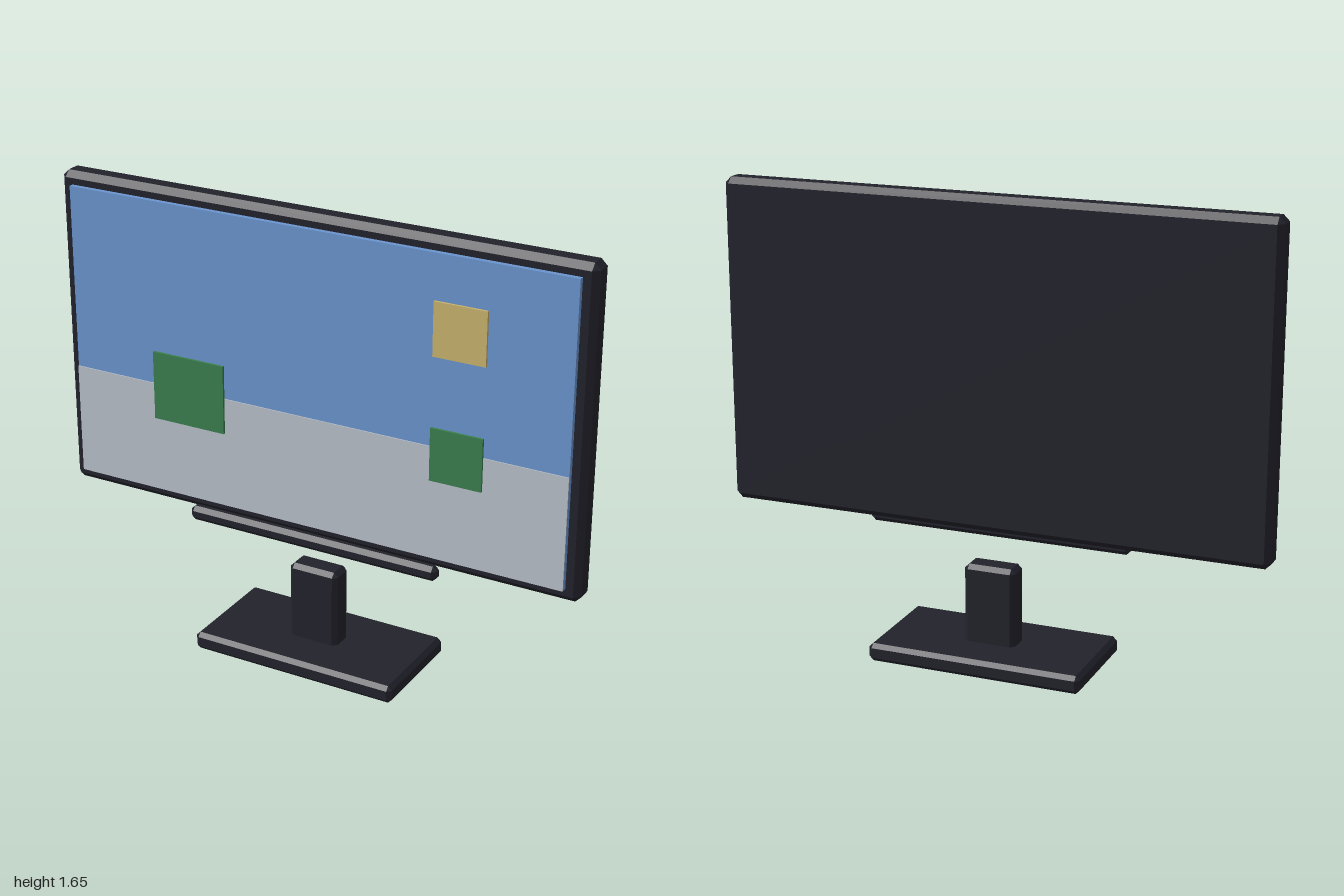
import * as THREE from 'three';
import { ConvexGeometry } from 'three/addons/geometries/ConvexGeometry.js';

const mat = (name, color) => {
  const m = new THREE.MeshStandardMaterial({ color });
  m.name = name;
  return m;
};

// Box with flat chamfers on every edge, given by its min and max corners
function chamferBox(min, max, c) {
  const h = min.map((v, i) => (max[i] - v) / 2);
  const mid = min.map((v, i) => (max[i] + v) / 2);
  const points = [];
  for (const sx of [-1, 1]) for (const sy of [-1, 1]) for (const sz of [-1, 1]) {
    for (let axis = 0; axis < 3; axis++) {
      const p = [sx, sy, sz].map((s, i) => mid[i] + s * (h[i] - (i === axis ? 0 : c)));
      points.push(new THREE.Vector3(...p));
    }
  }
  return new ConvexGeometry(points);
}

function plainBox(min, max) {
  const g = new THREE.BoxGeometry(...min.map((v, i) => max[i] - v));
  return g.translate(...min.map((v, i) => (max[i] + v) / 2));
}

export function createModel() {
  const casing = mat('dark casing', 0x22222c);
  const blue = mat('screen blue', 0x6a95cf);
  const grey = mat('screen grey', 0xb9c0c9);
  const yellow = mat('tile yellow', 0xc9b26e);
  const green = mat('tile green', 0x3b7f4e);

  const group = new THREE.Group();
  group.name = 'monitor';
  const add = (name, geometry, material) => {
    const mesh = new THREE.Mesh(geometry, material);
    mesh.name = name;
    group.add(mesh);
  };

  // Casing, sound bar and stand
  add('frame', chamferBox([-1, 0.48, -0.047], [1, 1.655, 0.047], 0.022), casing);
  add('soundBar', chamferBox([-0.49, 0.437, 0.026], [0.49, 0.492, 0.073], 0.016), casing);
  add('stem', chamferBox([-0.095, 0.04, -0.047], [0.095, 0.352, 0.047], 0.016), casing);
  add('base', chamferBox([-0.395, 0, -0.205], [0.395, 0.066, 0.205], 0.015), casing);

  // Screen with its lower band
  add('screen', plainBox([-0.95, 0.53, 0.04], [0.95, 1.61, 0.065]), blue);
  add('lowerBand', plainBox([-0.95, 0.53, 0.064], [0.95, 0.94, 0.069]), grey);

  // Square tiles on the screen
  add('largeTile', plainBox([-0.62, 0.81, 0.068], [-0.335, 1.063, 0.077]), green);
  add('smallTile', plainBox([0.46, 0.82, 0.068], [0.65, 1.01, 0.077]), green);
  add('yellowTile', plainBox([0.46, 1.26, 0.065], [0.65, 1.45, 0.074]), yellow);

  return group;
}
